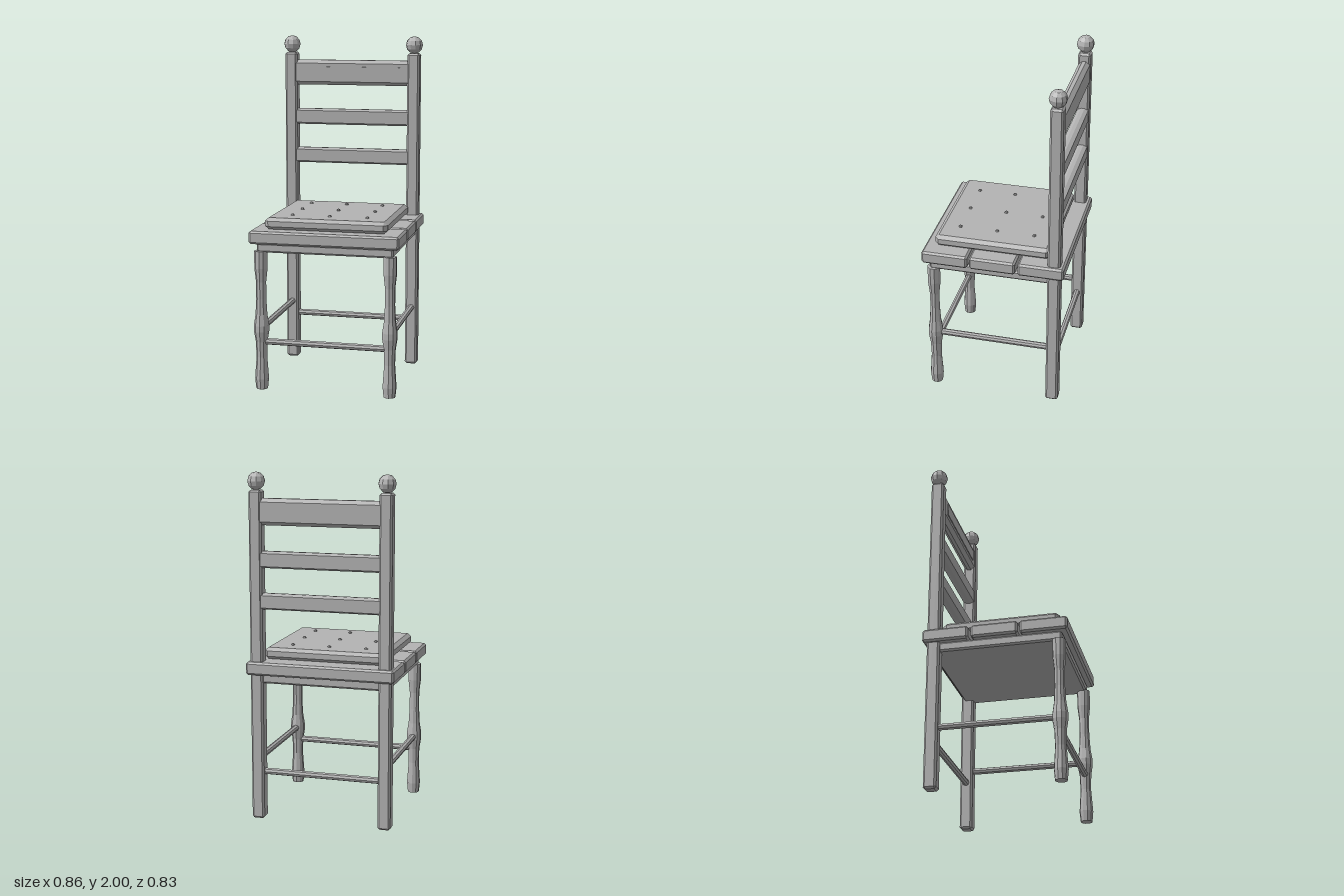
import * as THREE from 'three';
import { ConvexGeometry } from 'three/addons/geometries/ConvexGeometry.js';

const grey = new THREE.MeshStandardMaterial({ color: 0xb4b4b4, flatShading: true });
grey.name = 'plain grey';

export function createModel() {
  const chair = new THREE.Group();
  chair.name = 'chair';

  const add = (name, geometry, x = 0, y = 0, z = 0) => {
    const mesh = new THREE.Mesh(geometry, grey);
    mesh.name = name;
    mesh.position.set(x, y, z);
    chair.add(mesh);
    return mesh;
  };

  // Box between two corners with bevelled edges; bevel is given per axis
  const bevelBox = (name, min, max, bevel) => {
    const half = max.map((v, i) => (v - min[i]) / 2);
    const mid = max.map((v, i) => (v + min[i]) / 2);
    const points = [];
    for (const sx of [-1, 1]) for (const sy of [-1, 1]) for (const sz of [-1, 1]) {
      const sign = [sx, sy, sz];
      // each corner becomes three points, one on each face
      for (let face = 0; face < 3; face++) {
        const p = sign.map((s, i) => s * (half[i] - (i === face ? 0 : bevel[i])));
        points.push(new THREE.Vector3(...p));
      }
    }
    return add(name, new ConvexGeometry(points), ...mid);
  };

  const legX = 0.375, legZ = 0.355;

  // Turned front leg profile: radius, height
  const legProfile = [
    [0, 0], [0.034, 0], [0.04, 0.06], [0.031, 0.19], [0.034, 0.28], [0.044, 0.34],
    [0.044, 0.375], [0.034, 0.44], [0.029, 0.53], [0.029, 0.63], [0.038, 0.71],
    [0.038, 0.81], [0, 0.81],
  ].map(([r, y]) => new THREE.Vector2(r, y));

  for (const side of [-1, 1]) {
    const label = side > 0 ? 'left' : 'right';
    const x = side * legX;
    add(label + 'FrontLeg', new THREE.LatheGeometry(legProfile, 10), x, 0, legZ);
    bevelBox(label + 'BackPost', [x - 0.037, 0, -0.392], [x + 0.037, 1.9, -0.318], [0.011, 0.011, 0.011]);
    add(label + 'Finial', new THREE.SphereGeometry(0.051, 10, 6), x, 1.949, -legZ);
    const rod = add(label + 'Stretcher', new THREE.CylinderGeometry(0.019, 0.019, 2 * legZ, 8), x, 0.357, 0);
    rod.rotation.x = Math.PI / 2;
  }

  // Stretchers across the front and back
  for (const [name, z] of [['frontStretcher', legZ], ['backStretcher', -legZ]]) {
    const rod = add(name, new THREE.CylinderGeometry(0.019, 0.019, 2 * legX, 8), 0, 0.28, z);
    rod.rotation.z = Math.PI / 2;
  }

  // Seat frame and the three planks on it
  bevelBox('seatFrame', [-0.395, 0.803, -0.375], [0.395, 0.858, 0.375], [0.01, 0.01, 0.01]);
  [[-0.415, -0.15], [-0.135, 0.132], [0.143, 0.412]].forEach(([back, front], i) =>
    bevelBox('seatPlank' + (i + 1), [-0.432, 0.855, back], [0.432, 0.93, front], [0.011, 0.011, 0.011]));

  // Cushion with a grid of buttons
  bevelBox('cushion', [-0.355, 0.932, -0.318], [0.355, 0.999, 0.353], [0.022, 0.018, 0.022]);
  for (const x of [-0.218, 0, 0.218]) for (const z of [-0.2, 0.018, 0.235])
    add('cushionButton', new THREE.SphereGeometry(0.011, 6, 4), x, 1.0, z);

  // Back slats, bottom to top
  for (const [name, low, high, bevel] of [
    ['lowerSlat', 1.23, 1.322, 0.011], ['middleSlat', 1.465, 1.56, 0.011], ['topRail', 1.705, 1.855, 0.02],
  ]) bevelBox(name, [-0.36, low, -0.388], [0.36, high, -0.323], [0.01, bevel, 0.022]);

  // Raised panel on the top rail
  add('railPanel', new THREE.BoxGeometry(0.59, 0.07, 0.02), 0, 1.78, -0.328);

  return chair;
}
